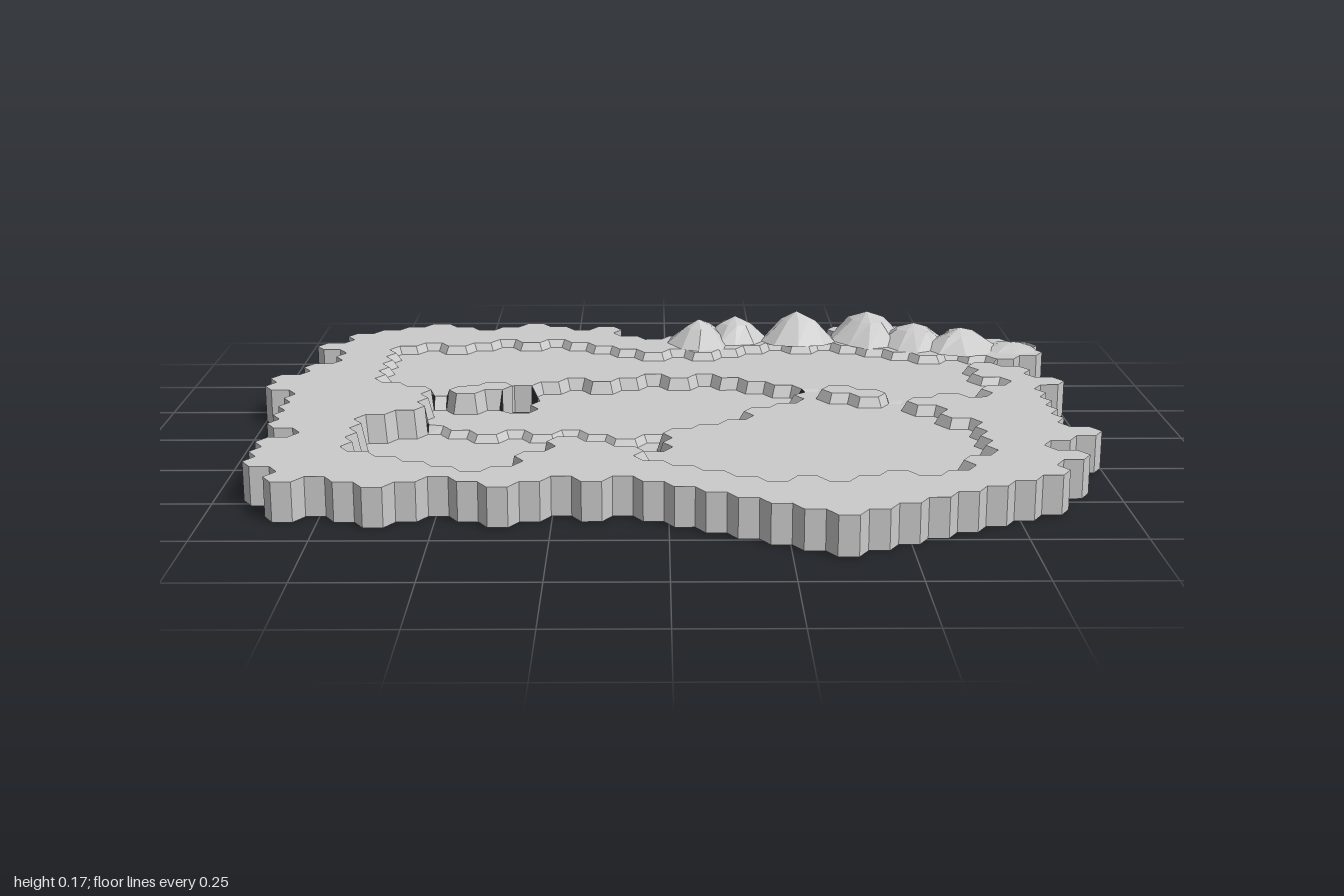
import * as THREE from 'three';

// Hexagonal tile grid: 30 columns by 22 rows, flat-topped tiles
const S = 2 / 45.5, H = S * Math.sqrt(3), COLS = 30, ROWS = 22;
const RIM = 0.09, SLOPE = 0.014;

// Coast of the board; tiles whose centre lies inside are kept
const outline = [
  [-.98, -.58], [-.82, -.72], [-.63, -.83], [-.5, -.78], [-.36, -.84], [-.25, -.77], [-.12, -.8], [-.1, -.7],
  [.06, -.69], [.18, -.77], [.28, -.68], [.46, -.68], [.47, -.79], [.65, -.79], [.68, -.69], [.85, -.69],
  [.98, -.6], [.98, -.5], [.86, -.42], [.98, -.25], [.91, -.05], [.91, .15], [.98, .24], [.8, .36],
  [.9, .42], [.84, .62], [.6, .72], [.36, .83], [.12, .74], [-.08, .6], [-.28, .6], [-.36, .65],
  [-.45, .6], [-.63, .64], [-.8, .62], [-.91, .5], [-.91, .27], [-.8, .24], [-.9, .18], [-.91, -.1],
  [-.98, -.2], [-.9, -.4], [-.84, -.48],
];

// Sunken regions, each with its own floor; where two overlap the first wins
const regions = [
  { name: 'frontRightBasin', y: 0.022, poly: [
    [-.73, .06], [-.5, .05], [-.4, .08], [-.15, .08], [-.02, .13], [-.02, .32], [-.08, .37], [-.14, .29],
    [-.24, .31], [-.4, .55], [-.55, .5], [-.73, .4]] },
  { name: 'frontLeftPlateau', y: 0.065, poly: [
    [0, .12], [.2, 0], [.36, -.22], [.45, -.1], [.6, -.05], [.73, .2], [.72, .42], [.58, .57],
    [.35, .62], [.05, .56], [-.08, .42], [-.02, .3]] },
  { name: 'middleBasin', y: 0.04, poly: [
    [-.6, -.09], [-.42, -.14], [-.4, -.27], [-.2, -.31], [-.03, -.37], [.2, -.31], [.36, -.22], [.2, .05],
    [0, .15], [-.4, .09], [-.61, .01]] },
  { name: 'backTerrace', y: 0.07, poly: [
    [-.73, -.57], [-.5, -.62], [-.3, -.65], [-.05, -.54], [.1, -.54], [.3, -.62], [.45, -.62], [.6, -.53],
    [.85, -.46], [.8, -.37], [.84, -.23], [.78, -.08], [.58, -.06], [.36, -.22], [-.4, -.2], [-.58, -.1],
    [-.73, -.22]] },
];

// Mountain peaks: x, z, height, radius in x, radius in z
const peaks = [
  [.09, -.64, .152, .09, .12], [.19, -.68, .152, .09, .1], [.355, -.65, .172, .11, .07], [.55, -.69, .162, .11, .14],
  [.67, -.62, .146, .1, .12], [.79, -.58, .142, .1, .12], [.92, -.56, .104, .08, .08],
];

function inside(poly, x, z) {
  let hit = false;
  poly.forEach(([ax, az], i) => {
    const [bx, bz] = poly[(i + 1) % poly.length];
    if ((az > z) !== (bz > z) && x < ax + (bx - ax) * (z - az) / (bz - az)) hit = !hit;
  });
  return hit;
}

function meshFrom(name, pos) {
  const geo = new THREE.BufferGeometry();
  geo.setAttribute('position', new THREE.Float32BufferAttribute(pos, 3));
  geo.computeVertexNormals();
  const mesh = new THREE.Mesh(geo, new THREE.MeshStandardMaterial({
    color: 0xcccccc, flatShading: true, side: THREE.DoubleSide }));
  mesh.name = name;
  return mesh;
}

const key = (x, z) => Math.round(x * 250) + ',' + Math.round(z * 250);
const put = (map, k, v) => (map.get(k) || map.set(k, []).get(k)).push(v);

function makeTiles() {
  const cells = [], corners = new Map(), edges = new Map();
  for (let c = 0; c < COLS; c++) for (let r = 0; r < ROWS; r++) {
    if (c === 9 && (r === 8 || r === 9)) continue; // two-tile opening
    const x = -1 + S + 1.5 * S * c;
    const z = (r - 10.75 + (c % 2 ? 0 : 0.5)) * H;
    if (!inside(outline, x, z)) continue;
    const region = regions.find(g => inside(g.poly, x, z));
    const cell = { x, z, y: region ? region.y : RIM, name: region ? region.name : 'outerLand', pts: [] };
    for (let i = 0; i < 6; i++) {
      const a = i * Math.PI / 3;
      cell.pts.push([x + S * Math.cos(a), z + S * Math.sin(a)]);
    }
    cell.pts.forEach((p, i) => {
      const q = cell.pts[(i + 1) % 6];
      put(corners, key(...p), cell);
      put(edges, key((p[0] + q[0]) / 2, (p[1] + q[1]) / 2), { cell, p, q });
    });
    cells.push(cell);
  }
  return { cells, corners, edges };
}

function createLand(group) {
  const { cells, corners, edges } = makeTiles();

  // A corner of a lower floor is drawn in a little, so the step slopes
  const corner = ([x, z], y) => {
    const around = corners.get(key(x, z));
    if (around.every(c => c.y <= y)) return [x, y, z];
    const same = around.filter(c => c.y === y);
    const dx = same.reduce((t, c) => t + c.x - x, 0), dz = same.reduce((t, c) => t + c.z - z, 0);
    const k = SLOPE / Math.hypot(dx, dz);
    return [x + dx * k, y, z + dz * k];
  };
  const underPeak = c => c.y === RIM &&
    peaks.some(([x, z, , rx, rz]) => Math.hypot((c.x - x) / rx, (c.z - z) / rz) < 0.6);

  // Tile tops, gathered by region
  const tops = new Map();
  for (const cell of cells) {
    if (underPeak(cell)) continue;
    const p = cell.pts.map(q => corner(q, cell.y));
    p.forEach((a, i) => put(tops, cell.name, [cell.x, cell.y, cell.z, ...p[(i + 1) % 6], ...a]));
  }
  tops.forEach((tris, name) => group.add(meshFrom(name, tris.flat())));

  // Outer skirt down to the ground, and steps between regions
  const skirt = [], steps = [];
  const quad = (out, a, b, c, d) => out.push(...a, ...b, ...c, ...a, ...c, ...d);
  edges.forEach(list => {
    list.sort((a, b) => b.cell.y - a.cell.y);
    const [{ cell, p, q }, low] = list;
    const a = corner(p, cell.y), b = corner(q, cell.y);
    if (!low) quad(skirt, a, b, [b[0], 0, b[2]], [a[0], 0, a[2]]);
    else if (low.cell.y < cell.y) quad(steps, a, b, corner(q, low.cell.y), corner(p, low.cell.y));
  });
  group.add(meshFrom('outerSkirt', skirt), meshFrom('regionSteps', steps));
}

// Faceted, irregular cones open underneath
function createMountains(group) {
  let seed = 7;
  const rand = () => (seed = (seed * 16807) % 2147483647) / 2147483647;
  const range = new THREE.Group();
  range.name = 'mountains';
  for (const [x, z, h, rx, rz] of peaks) {
    const n = 9, pos = [];
    const ring = (scale, y, jitter) => Array.from({ length: n }, (_, i) => {
      const a = (i + 0.4 * rand()) / n * Math.PI * 2, r = scale * (1 - jitter * rand());
      return [x + Math.cos(a) * rx * r, y, z + Math.sin(a) * rz * r];
    });
    const base = ring(1.08, RIM - 0.001, 0.2), mid = ring(0.5, RIM + (h - RIM) * 0.7, 0.4);
    for (let i = 0; i < n; i++) {
      const j = (i + 1) % n;
      pos.push(...base[i], ...mid[i], ...base[j], ...mid[i], ...mid[j], ...base[j]);
      pos.push(...mid[i], x, h, z, ...mid[j]);
    }
    range.add(meshFrom('mountain', pos));
  }
  group.add(range);
}

export function createModel() {
  const group = new THREE.Group();
  group.name = 'terrainBoard';
  createLand(group);
  createMountains(group);
  return group;
}
